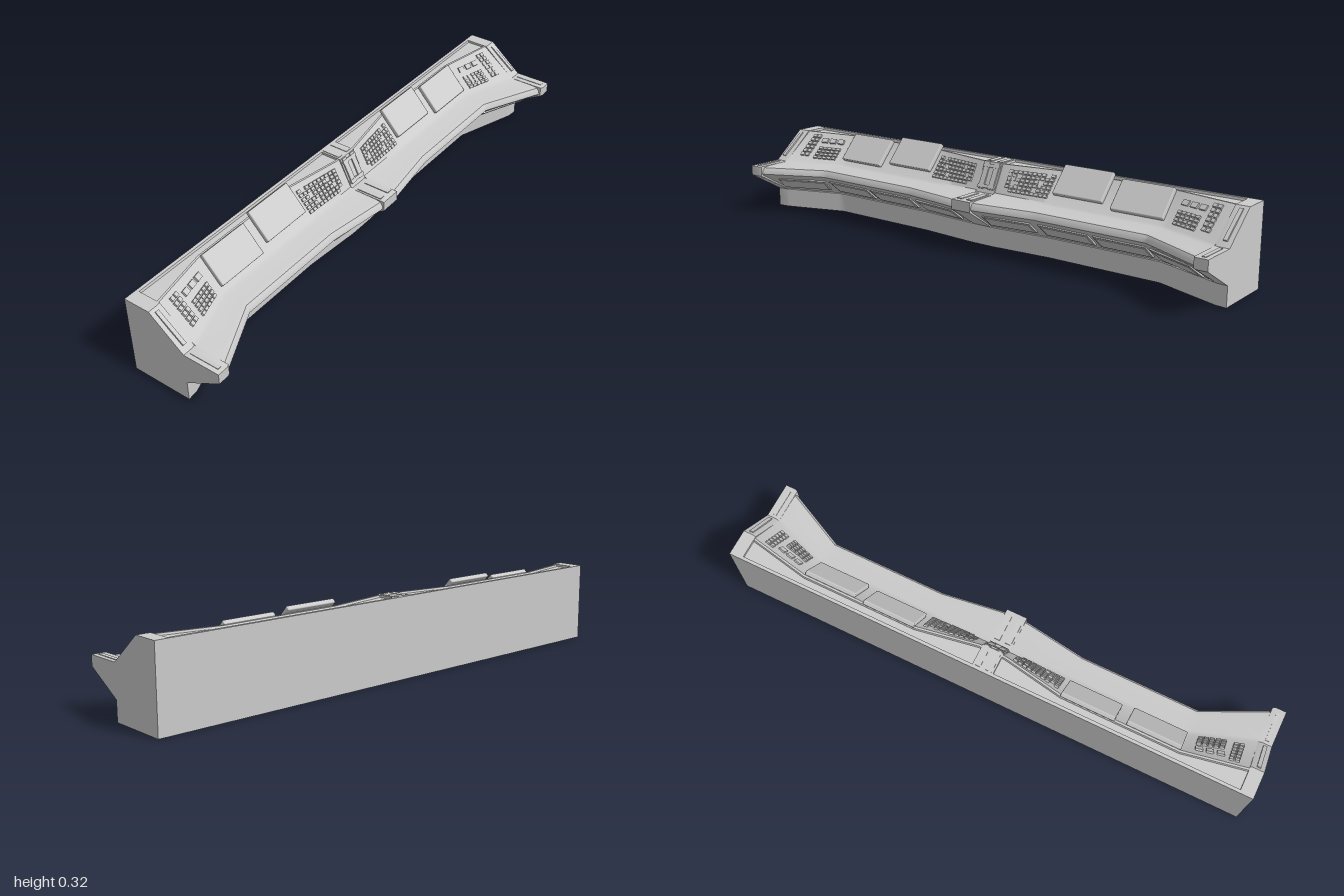
import * as THREE from 'three';
import { toCreasedNormals } from 'three/addons/utils/BufferGeometryUtils.js';
import { RoundedBoxGeometry } from 'three/addons/geometries/RoundedBoxGeometry.js';

const mat = new THREE.MeshStandardMaterial({ color: 0xcccccc, roughness: 0.8 });
const BACK = -0.183, TOP = 0.295, DESK = 0.19, LIP = 0.152, BASE = 0.072;

// plan outline: x, then z of slope top, slope foot, desk lip and base front
const PLAN = [
  [0, -0.09, -0.04, 0.1, -0.025],
  [0.05, -0.09, -0.04, 0.1, -0.025],
  [0.28, -0.13, -0.04, 0.067, -0.042],
  [0.72, -0.13, -0.04, 0.067, -0.042],
  [0.96, -0.083, 0.045, 0.183, 0.04],
  [1.01, -0.083, 0.045, 0.183, 0.045],
];
function planAt(x) {
  const a = Math.abs(x);
  let i = 0;
  while (i < PLAN.length - 2 && a > PLAN[i + 1][0]) i++;
  const p = PLAN[i], q = PLAN[i + 1], k = (a - p[0]) / (q[0] - p[0]);
  return p.slice(1).map((v, j) => THREE.MathUtils.lerp(v, q[j + 1], k));
}

// cross-section as [z, y]; bays are slightly sunk between the ribs and have a rounded lip
function profile(x, bay) {
  const [top, foot, lip, base] = planAt(x);
  const d = bay ? 0.005 : 0, r = bay ? 1 : 0.02;
  return [
    [BACK, 0], [BACK, TOP], [BACK + 0.012, TOP],
    [BACK + 0.014, TOP - d * 1.8], [top - 0.016, TOP - d * 1.8], [top - 0.013, TOP - d * 0.4],
    [top - d, TOP - d * 0.4], [foot - d, DESK + d],
    [foot + 0.012 * r, DESK - d * 0.2], [lip - 0.03 * r - d, DESK - d * 0.4],
    [lip - 0.012 * r - d, DESK - 0.006 * r], [lip - 0.003 * r - d, DESK - 0.017 * r],
    [lip - d, LIP + 0.008 * r], [lip - 0.008 * r - d, LIP],
    [base - d * 0.6, BASE + d * 0.5], [base, BASE], [base, 0],
  ];
}

// solid swept through the given x stations with closed ends
function loft(xs, bay) {
  const rings = xs.map(x => profile(x, bay).map(([z, y]) => new THREE.Vector3(x, y, z)));
  const pos = [], n = rings[0].length;
  const tri = (...v) => v.forEach(p => pos.push(p.x, p.y, p.z));
  for (let s = 0; s < rings.length - 1; s++) {
    for (let i = 0; i < n; i++) {
      const j = (i + 1) % n, a = rings[s], b = rings[s + 1];
      tri(a[i], a[j], b[j]);
      tri(a[i], b[j], b[i]);
    }
  }
  const flat = rings[0].map(p => new THREE.Vector2(-p.z, p.y));
  [rings[0], rings[rings.length - 1]].forEach((ring, end) => {
    const pts = ring.map(p => new THREE.Vector2(-p.z, p.y));
    for (const [a, b, c] of THREE.ShapeUtils.triangulateShape(end ? pts : flat, [])) {
      const ccw = THREE.ShapeUtils.area([pts[a], pts[b], pts[c]]) > 0;
      if (ccw === (end === 1)) tri(ring[a], ring[b], ring[c]);
      else tri(ring[a], ring[c], ring[b]);
    }
  });
  const g = new THREE.BufferGeometry();
  g.setAttribute('position', new THREE.Float32BufferAttribute(pos, 3));
  return toCreasedNormals(g, 0.6);
}

// points on the sloped panel and on the underside, t running upwards from 0 to 1
const onSlope = (x, t) => {
  const [top, foot] = planAt(x);
  return new THREE.Vector3(x, DESK + 0.005 + (TOP - DESK - 0.007) * t, foot + (top - foot) * t - 0.005);
};
const onUnderside = (x, t) => {
  const [, , lip, base] = planAt(x);
  return new THREE.Vector3(x, BASE + (LIP - BASE) * t, base + (lip - 0.013 - base) * t);
};

export function createModel() {
  const model = new THREE.Group();
  const add = (name, geo, parent = model) => {
    const m = new THREE.Mesh(geo, mat);
    m.name = name;
    parent.add(m);
    return m;
  };
  // lays a block flat on a surface, standing out by the given lift
  const place = (name, geo, surface, x, t, lift, parent) => {
    const m = add(name, geo, parent), e = 0.004;
    const u = surface(x + e, t).sub(surface(x - e, t)).normalize();
    const v = surface(x, t + e).sub(surface(x, t - e)).normalize();
    const n = u.clone().cross(v).normalize();
    m.quaternion.setFromRotationMatrix(new THREE.Matrix4().makeBasis(u, n.clone().cross(u), n));
    m.position.copy(surface(x, t)).addScaledVector(n, lift);
    return m;
  };

  // centre rib with its paired bars and cross clamps
  add('centreRib', loft([-0.04, 0.04], false));
  for (const s of [-1, 1]) {
    place('centreBar', new THREE.BoxGeometry(0.022, 0.1, 0.008), onSlope, s * 0.022, 0.52, 0.005);
    const deskBar = add('centreDeskBar', new THREE.BoxGeometry(0.022, 0.006, 0.1));
    deskBar.position.set(s * 0.022, DESK, 0.03);
    const topBar = add('centreTopBar', new THREE.BoxGeometry(0.022, 0.004, 0.07));
    topBar.position.set(s * 0.022, TOP, -0.135);
  }
  for (const t of [0.15, 0.85])
    place('centreClamp', new THREE.BoxGeometry(0.072, 0.012, 0.01), onSlope, 0, t, 0.006);

  const screenGeo = new RoundedBoxGeometry(0.2, 0.12, 0.018, 2, 0.004);
  for (const s of [-1, 1]) {
    const side = s > 0 ? 'left' : 'right';
    const xs = [0.04, 0.05, 0.16, 0.26, 0.28, 0.3, 0.5, 0.7, 0.72, 0.74, 0.84, 0.95].map(x => x * s);
    if (s < 0) xs.reverse();
    add(side + 'ConsoleBody', loft(xs, true));
    const rib = [0.95, 0.96, 1].map(x => x * s);
    if (s < 0) rib.reverse();
    add(side + 'EndRib', loft(rib, false));

    // strips along the end rib
    place('endSlopeStrip', new THREE.BoxGeometry(0.014, 0.13, 0.006), onSlope, s * 0.977, 0.5, 0.005);
    const strip = add('endDeskStrip', new THREE.BoxGeometry(0.014, 0.004, 0.11));
    strip.position.set(s * 0.977, DESK, 0.112);

    // tilted screens
    place('outerScreen', screenGeo, onSlope, s * 0.62, 0.56, 0.009);
    place('innerScreen', screenGeo, onSlope, s * 0.38, 0.7, 0.009);

    // inset panels under the desk
    for (const x of [0.83, 0.61, 0.39, 0.16]) {
      const w = x < 0.2 ? 0.19 : 0.2;
      place('undersideFrame', new THREE.BoxGeometry(w, 0.075, 0.006), onUnderside, s * x, 0.56, 0.001);
      place('undersidePanel', new THREE.BoxGeometry(w - 0.014, 0.062, 0.006), onUnderside, s * x, 0.56, 0.003);
    }

    // keypads: x start, x step, columns, t start, t step, rows, key width, key height
    const keypads = [
      ['innerKeypad', 0.085, 0.0185, 10, 0.16, 0.125, 6, 0.015, 0.011],
      ['outerKeypad', 0.768, 0.019, 5, 0.14, 0.105, 4, 0.016, 0.01],
      ['buttonRow', 0.775, 0.036, 3, 0.72, 0.2, 1, 0.026, 0.02],
      ['edgeKeypad', 0.885, 0.019, 2, 0.22, 0.125, 6, 0.015, 0.014],
    ];
    for (const [name, x0, dx, cols, t0, dt, rows, w, h] of keypads) {
      const pad = new THREE.Group();
      pad.name = side + name[0].toUpperCase() + name.slice(1);
      model.add(pad);
      const key = new THREE.BoxGeometry(w, h, 0.008);
      for (let c = 0; c < cols; c++)
        for (let r = 0; r < rows; r++) {
          if (name === 'innerKeypad' && (r * 3 + c * 5) % 11 === 0) continue;
          place('key', key, onSlope, s * (x0 + c * dx), t0 + r * dt, 0.003, pad);
        }
    }
  }
  return model;
}
